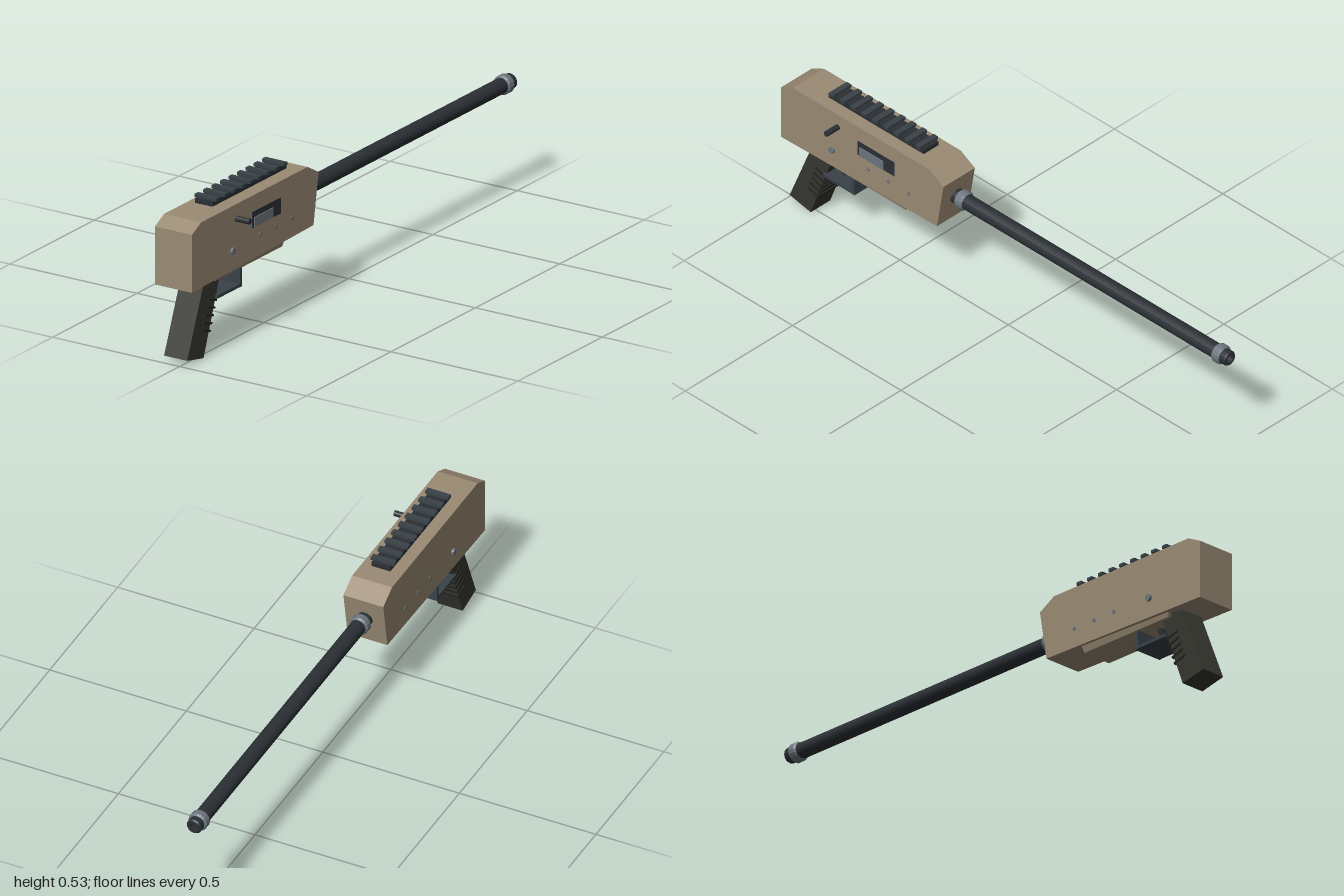
import * as THREE from 'three';

const CX = -0.024; // middle plane of the model

const paint = (color) => new THREE.MeshStandardMaterial({ color, flatShading: true });

export function createModel() {
  const root = new THREE.Group();
  const tan = paint(0x9b8b74);
  const dark = paint(0x2b3035);
  const rubber = paint(0x363630);
  const ridgeMat = paint(0x23231f);
  const steel = paint(0x6c777e);
  const frame = paint(0x3a4249);

  function add(name, geometry, material, x = 0, y = 0, z = 0, parent = root) {
    const mesh = new THREE.Mesh(geometry, material);
    mesh.name = name;
    mesh.position.set(x, y, z);
    parent.add(mesh);
    return mesh;
  }

  function group(name) {
    const g = new THREE.Group();
    g.name = name;
    root.add(g);
    return g;
  }

  // Side outline given as [z, y], extruded across x around the middle plane
  function side(points, width) {
    const shape = new THREE.Shape(points.map(([z, y]) => new THREE.Vector2(-z, y)));
    const g = new THREE.ExtrudeGeometry(shape, { depth: width, bevelEnabled: false });
    return g.translate(0, 0, -width / 2).rotateY(Math.PI / 2);
  }

  // Turned part along the z axis, profile given as [radius, z] from back to muzzle
  function turned(points, segments) {
    const profile = points.map(([r, z]) => new THREE.Vector2(r, -z));
    return new THREE.LatheGeometry(profile, segments).rotateX(-Math.PI / 2);
  }

  const rod = (r, length, n) => new THREE.CylinderGeometry(r, r, length, n).rotateZ(Math.PI / 2);

  // Receiver body
  add('receiver', side([
    [1, 0.267], [1, 0.47], [0.945, 0.497], [0.315, 0.497], [0.25, 0.46], [0.28, 0.283],
  ], 0.146), tan, CX);

  // Tapered plate under the receiver
  const plate = new THREE.BoxGeometry(0.13, 0.03, 0.405);
  const p = plate.attributes.position;
  for (let i = 0; i < p.count; i++) {
    if (p.getY(i) < 0) p.setXYZ(i, p.getX(i) * 0.87, p.getY(i), p.getZ(i) * 0.97);
  }
  add('underPlate', plate, tan, CX, 0.27, 0.6375);

  // Top rail with cross teeth
  const rail = group('topRail');
  add('railBase', new THREE.BoxGeometry(0.068, 0.017, 0.44), dark, CX, 0.5135, 0.6, rail);
  for (let i = 0; i < 9; i++) {
    add('railTooth', new THREE.BoxGeometry(0.085, 0.011, 0.021), frame, CX, 0.5265, 0.4 + i * 0.05, rail);
  }

  // Barrel with a shallow bore, and a collar at each end
  add('barrel', turned([
    [0, 0.29], [0.027, 0.29], [0.027, -0.995], [0.023, -1], [0.015, -1], [0.015, -0.96], [0, -0.96],
  ], 20), dark, CX, 0.38);
  for (const z of [0.228, -0.958]) {
    add('barrelCollar', turned([
      [0.026, 0.017], [0.029, 0.017], [0.034, 0.011], [0.034, -0.011], [0.029, -0.017], [0.026, -0.017],
    ], 16), steel, CX, 0.38, z);
  }

  // Ejection port, bolt and charging handle on the left side
  add('ejectionPort', new THREE.BoxGeometry(0.01, 0.056, 0.17), dark, 0.0455, 0.412, 0.56);
  add('bolt', new THREE.BoxGeometry(0.014, 0.034, 0.11), steel, 0.047, 0.403, 0.58);
  add('chargingHandle', rod(0.01, 0.075, 12), dark, 0.0665, 0.447, 0.738);

  // Cross pins
  add('mainPin', rod(0.012, 0.163, 12), steel, CX, 0.341, 0.762);
  for (const z of [0.41, 0.503, 0.596]) {
    add('smallPin', rod(0.007, 0.151, 10), steel, CX, 0.348, z);
  }

  // Slanted grip with wrapping ridges on its front half
  const grip = group('grip');
  add('gripBody', side([
    [0.987, 0.02], [0.881, 0.28], [0.786, 0.28], [0.89, 0],
  ], 0.091), rubber, CX, 0, 0, grip);
  for (let i = 0; i < 5; i++) {
    const y = 0.085 + i * 0.0245;
    const ridge = add('gripRidge', new THREE.BoxGeometry(0.097, 0.007, 0.052), ridgeMat,
      CX, y + 0.006, 0.89 - y * 0.371 + 0.018, grip);
    ridge.rotation.x = -0.3;
  }

  // Wide trigger guard and trigger
  const guard = group('triggerGuard');
  add('guardFloor', new THREE.BoxGeometry(0.112, 0.011, 0.145), frame, CX, 0.1945, 0.7505, guard);
  add('guardFront', new THREE.BoxGeometry(0.112, 0.075, 0.013), frame, CX, 0.2255, 0.6845, guard);
  add('trigger', side([
    [0.775, 0.205], [0.762, 0.235], [0.757, 0.265], [0.737, 0.265], [0.75, 0.23], [0.765, 0.203],
  ], 0.03), dark, CX);

  return root;
}
